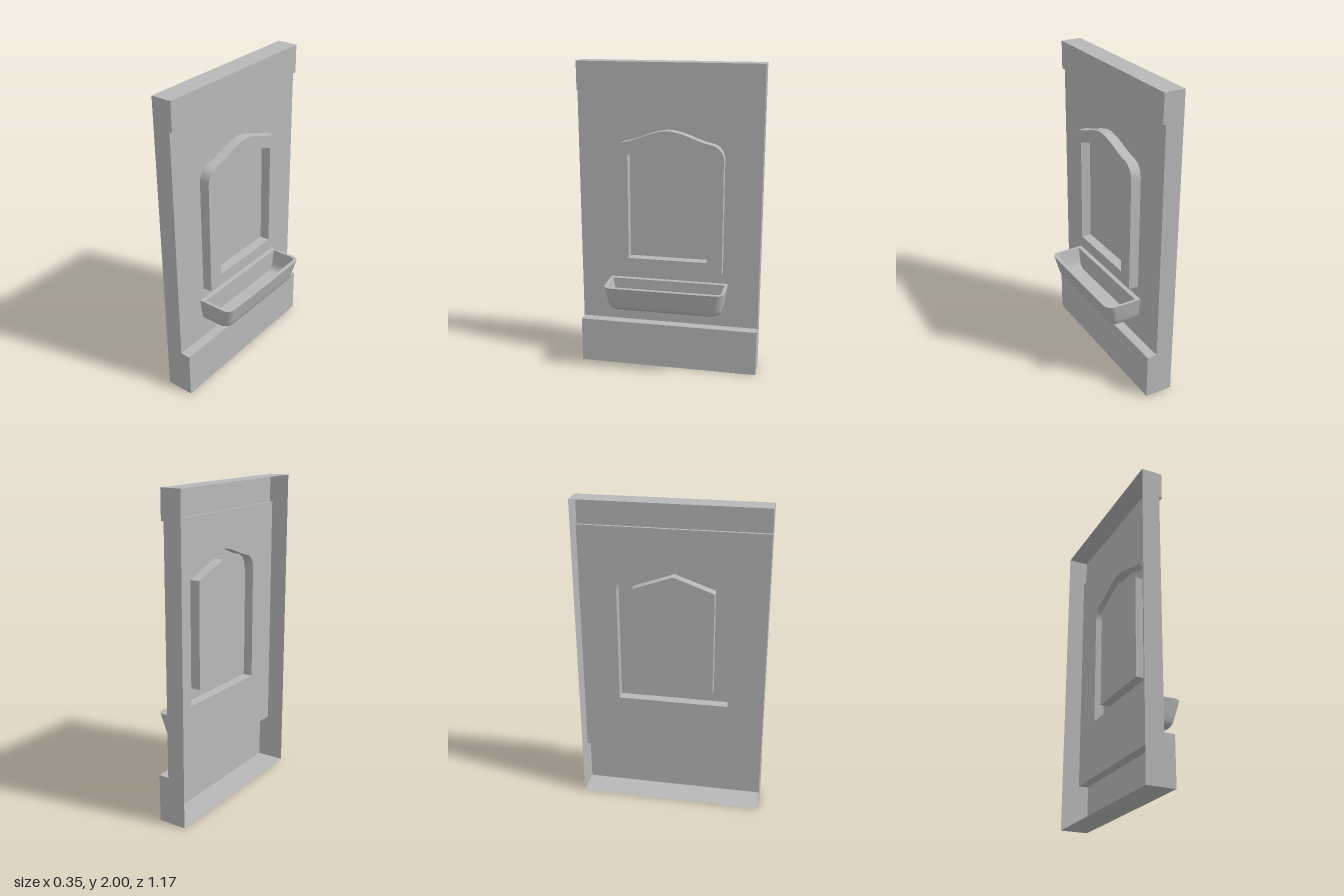
import * as THREE from 'three';
import { toCreasedNormals } from 'three/addons/utils/BufferGeometryUtils.js';

const HALF = 0.587;      // half width of the panel along z
const WALL = -0.06;      // x of the wall sheet
const FRONT = 0.005;     // x of the window frame face

const stone = new THREE.MeshStandardMaterial({ color: 0xb8b8b8, side: THREE.DoubleSide });
stone.name = 'grey stone';

// Joins equal-length rings of [x, y, z] points into a creased surface
function loft(rings, closed) {
  const n = rings[0].length, index = [];
  for (let i = 0; i < rings.length - 1; i++) {
    for (let j = 0; j < (closed ? n : n - 1); j++) {
      const k = (j + 1) % n, a = i * n + j, b = i * n + k;
      index.push(a, b, b + n, a, b + n, a + n);
    }
  }
  const g = new THREE.BufferGeometry();
  g.setAttribute('position', new THREE.Float32BufferAttribute(rings.flat(2), 3));
  g.setIndex(index);
  return toCreasedNormals(g, 0.75);
}

// Open band: a 2D outline swept from z0 to z1
function band(points, z0, z1, closed = false) {
  return loft([z0, z1].map(z => points.map(p => [p.x, p.y, z])), closed);
}

const vecs = list => list.map(([x, y]) => new THREE.Vector2(x, y));

// Plan outline of the trough: flat back, rounded front corners
function troughRing(y, back, front, w, r) {
  const pts = [[back, y, w]];
  for (const s of [1, -1]) {
    for (let i = 0; i <= 8; i++) {
      const t = (i / 8) * Math.PI / 2, a = s > 0 ? t : Math.PI / 2 - t;
      pts.push([front - r + r * Math.sin(a), y, s * (w - r + r * Math.cos(a))]);
    }
  }
  pts.push([back, y, -w]);
  return pts;
}

export function createModel() {
  const model = new THREE.Group();
  const add = (name, geometry, parent = model) => {
    const m = new THREE.Mesh(geometry, stone);
    m.name = name;
    parent.add(m);
    return m;
  };

  // Hollow panel: plinth, top rail and end walls, open at the back
  const plinth = vecs([[-0.175, 0], [FRONT, 0], [FRONT, 0.3], [WALL, 0.3]]);
  const rail = vecs([[WALL, 1.82], [-0.042, 1.82], [-0.042, 2], [-0.175, 2]]);
  add('plinth', band(plinth, -HALF, HALF));
  add('topRail', band(rail, -HALF, HALF));
  const endShape = new THREE.Shape([...plinth, ...rail]);
  for (const s of [1, -1]) {
    const g = new THREE.ShapeGeometry(endShape);
    if (s < 0) {
      g.index.array.reverse();
      g.attributes.normal.array.forEach((v, i, arr) => { arr[i] = -v; });
    }
    add(s > 0 ? 'frontEndWall' : 'backEndWall', g).position.z = s * HALF;
  }

  // Outlines of the arched frame and its pointed opening
  const arch = new THREE.Shape();
  arch.moveTo(-0.353, 0.674);
  arch.lineTo(0.353, 0.674);
  arch.lineTo(0.353, 1.41);
  arch.bezierCurveTo(0.353, 1.465, 0.32, 1.505, 0.27, 1.513);
  arch.bezierCurveTo(0.18, 1.53, 0.09, 1.588, 0, 1.588);
  arch.bezierCurveTo(-0.09, 1.588, -0.18, 1.53, -0.27, 1.513);
  arch.bezierCurveTo(-0.32, 1.505, -0.353, 1.465, -0.353, 1.41);
  const archPts = arch.getPoints(10);
  const opening = vecs([[-0.255, 0.753], [-0.255, 1.432], [0, 1.523], [0.255, 1.432], [0.255, 0.753]]);

  // Parts drawn flat and turned to face +x
  const facing = new THREE.Group();
  facing.name = 'wallAndWindow';
  facing.rotation.y = Math.PI / 2;
  model.add(facing);

  const wall = new THREE.Shape(vecs([[-HALF, 0.3], [HALF, 0.3], [HALF, 1.82], [-HALF, 1.82]]));
  wall.holes.push(new THREE.Path(archPts));
  add('wall', new THREE.ShapeGeometry(wall), facing).position.z = WALL;

  const face = new THREE.Shape(archPts);
  face.holes.push(new THREE.Path(opening));
  add('frameFace', new THREE.ShapeGeometry(face), facing).position.z = FRONT;
  add('frameSides', band(archPts, WALL, FRONT, true), facing);
  add('frameReveal', band(opening, WALL, FRONT, true), facing);
  add('windowPane', new THREE.ShapeGeometry(new THREE.Shape(opening)), facing).position.z = WALL;

  // Trough: outside from the base up, over the rim and down to the floor
  add('trough', loft([
    troughRing(0.43, WALL, WALL, 0.325, 0),
    troughRing(0.43, WALL, 0.09, 0.325, 0.04),
    troughRing(0.434, WALL, 0.113, 0.343, 0.05),
    troughRing(0.447, WALL, 0.131, 0.358, 0.055),
    troughRing(0.465, WALL, 0.141, 0.367, 0.055),
    troughRing(0.49, WALL, 0.148, 0.372, 0.055),
    troughRing(0.598, WALL, 0.175, 0.388, 0.055),
    troughRing(0.598, -0.028, 0.148, 0.37, 0.035),
    troughRing(0.51, -0.028, 0.132, 0.354, 0.035),
    troughRing(0.48, -0.028, 0.12, 0.344, 0.035),
    troughRing(0.462, -0.028, 0.1, 0.328, 0.035),
    troughRing(0.456, -0.028, 0.075, 0.31, 0.03),
    troughRing(0.456, -0.028, -0.028, 0.31, 0),
  ], true));

  return model;
}
